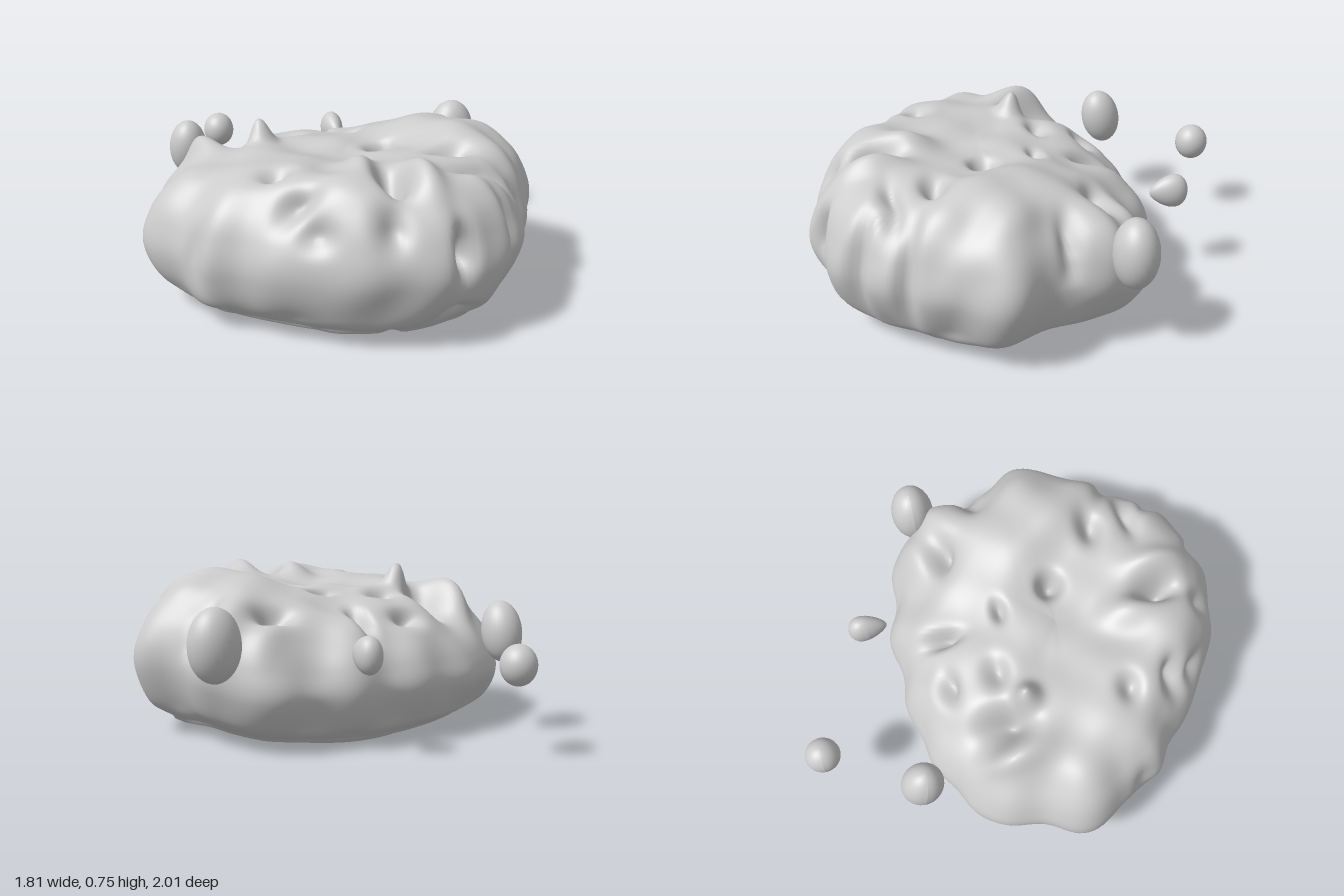
import * as THREE from 'three';
import { mergeVertices } from 'three/addons/utils/BufferGeometryUtils.js';

const material = new THREE.MeshStandardMaterial({ color: 0xcccccc, roughness: 0.8 });
const CENTRE_Z = 0.22;
const { smoothstep, degToRad } = THREE.MathUtils;

// Outline radius every 15 degrees, from +x towards +z
const RADII = [
  0.88, 0.86, 0.81, 0.83, 0.82, 0.8, 0.77, 0.73, 0.71, 0.71, 0.75, 0.82,
  0.88, 0.86, 0.88, 0.82, 0.78, 0.75, 0.74, 0.76, 0.81, 0.88, 0.85, 0.82,
];

// Section from under the middle to the top: share of the radius, height
const SECTION = [
  [0, 0.04], [0.72, 0.04], [0.82, 0.065], [0.92, 0.14], [1, 0.33],
  [0.965, 0.48], [0.88, 0.595], [0.74, 0.675], [0.5, 0.675], [0, 0.62],
];

// Pits (-) and peaks (+) of the top: x, z, amount, radius x, radius z
const TOP_LUMPS = [
  [-0.43, -0.12, -0.19, 0.08, 0.12], [-0.33, 0.02, 0.12, 0.055, 0.05],
  [-0.56, -0.1, 0.06, 0.06, 0.13], [-0.18, -0.09, -0.07, 0.07, 0.05],
  [-0.18, -0.31, -0.08, 0.07, 0.045], [0.05, -0.3, -0.1, 0.035, 0.08],
  [0.45, -0.23, -0.1, 0.08, 0.05], [0.17, 0.23, -0.13, 0.05, 0.045],
  [0.4, 0.47, -0.09, 0.08, 0.05], [0.45, 0.66, -0.06, 0.12, 0.04],
  [0.05, 0.7, -0.18, 0.05, 0.1], [-0.38, 0.47, -0.07, 0.06, 0.05],
  [-0.36, 0.69, -0.07, 0.08, 0.05], [0.45, 0.22, 0.055, 0.18, 0.2],
  [-0.04, 0.55, 0.06, 0.08, 0.14], [0.18, 0.72, 0.05, 0.06, 0.14],
  [0.1, -0.02, -0.06, 0.05, 0.03], [0.72, -0.04, -0.05, 0.09, 0.04],
];

// Folds and swellings of the side: angle, height, amount, half angle, half height
const SIDE_LUMPS = [
  [327, 0.47, 0.07, 7, 0.15], [315, 0.48, 0.05, 6, 0.12], [70, 0.42, -0.13, 3, 0.1],
  [48, 0.42, -0.05, 3, 0.2], [31, 0.42, -0.05, 3, 0.2], [92, 0.55, -0.06, 5, 0.08],
  [68, 0.13, -0.05, 6, 0.04], [160, 0.35, -0.04, 4, 0.15], [118, 0.52, -0.05, 6, 0.06],
];

const bell = (a, b) => Math.exp(-a * a - b * b);

// Distance the surface moves along its normal at a point
function lumpiness({ x, y, z }, n) {
  const angle = Math.atan2(z - CENTRE_Z, x);
  const rim = smoothstep(Math.hypot(x, z - CENTRE_Z), 0.5, 0.7);
  const up = smoothstep(n.y, 0.05, 0.5);
  const down = smoothstep(-n.y, 0.4, 0.9);

  // Gentle unevenness, with upright folds round the side
  let d = (1 - down) * (0.014 * Math.sin(11 * x + 3 * z + 1) * Math.sin(10 * z - 4 * x)
    + 0.008 * Math.sin(19 * x - 7 * y) * Math.sin(17 * z + 5 * y + 2)
    + 0.01 * rim * Math.sin(14 * angle + 3 * y));
  for (const [cx, cz, amount, rx, rz] of TOP_LUMPS) {
    d += up * amount * bell((x - cx) / rx, (z - cz) / rz);
  }
  for (const [degrees, height, amount, spread, rise] of SIDE_LUMPS) {
    const turn = angle - degToRad(degrees);
    const away = Math.atan2(Math.sin(turn), Math.cos(turn));
    d += rim * amount * bell(away / degToRad(spread), (y - height) / rise);
  }
  // Underside: uneven pits along a spiral, and two low swellings it rests on
  for (let k = 0; k < 12; k++) {
    const r = 0.17 * Math.sqrt(k + 1), size = 0.045 + 0.015 * Math.sin(5 * k);
    const px = r * Math.cos(2.4 * k + 0.3), pz = CENTRE_Z + r * Math.sin(2.4 * k + 0.3);
    d -= down * 1.2 * size * bell((x - px) / size, (z - pz) / (0.1 - size));
  }
  d += down * 0.035 * (bell((x - 0.1) / 0.25, (z + 0.3) / 0.12) + bell((x + 0.5) / 0.12, (z - 0.2) / 0.15));
  return d;
}

// Body lofted from the outline and section, then made lumpy
function bodyGeometry(cols = 240, rows = 140) {
  const outline = new THREE.CatmullRomCurve3(RADII.map((r, i) => {
    const a = degToRad(15 * i);
    return new THREE.Vector3(r * Math.cos(a), 0, r * Math.sin(a));
  }), true);
  const section = new THREE.SplineCurve(SECTION.map(p => new THREE.Vector2(...p)));
  const ring = outline.getSpacedPoints(cols);
  ring[cols].copy(ring[0]);
  const positions = [], index = [];
  section.getSpacedPoints(rows).forEach((p, i) => {
    const s = i === 0 || i === rows ? 0 : p.x;
    for (const r of ring) {
      const x = r.x * s, z = CENTRE_Z + r.z * s;
      // The top slopes down to the back and to the model's right
      const slope = (1 - 0.27 * smoothstep(-z, -0.1, 0.5)) * (1 - 0.13 * smoothstep(-x, 0.2, 0.9));
      positions.push(x, p.y * slope, z);
    }
  });
  for (let i = 0; i < rows; i++) {
    for (let j = 0; j < cols; j++) {
      const a = i * (cols + 1) + j, b = a + cols + 1;
      index.push(a, b, a + 1, b, b + 1, a + 1);
    }
  }
  let geo = new THREE.BufferGeometry();
  geo.setAttribute('position', new THREE.Float32BufferAttribute(positions, 3));
  geo.setIndex(index);
  geo = mergeVertices(geo, 1e-5);
  geo.computeVertexNormals();

  const pos = geo.attributes.position;
  const v = new THREE.Vector3(), n = new THREE.Vector3();
  for (let i = 0; i < pos.count; i++) {
    v.fromBufferAttribute(pos, i);
    n.fromBufferAttribute(geo.attributes.normal, i);
    v.addScaledVector(n, lumpiness(v, n));
    pos.setXYZ(i, v.x, Math.max(v.y, 0), v.z);
  }
  geo.computeVertexNormals();
  return geo;
}

// Rounded drop, narrowed towards +z by the taper
function droplet(name, position, radii, taper, tilt) {
  const geo = new THREE.SphereGeometry(1, 28, 20);
  const pos = geo.attributes.position;
  for (let i = 0; i < pos.count; i++) {
    const k = 1 - taper * (pos.getZ(i) + 0.3);
    pos.setXY(i, pos.getX(i) * k, pos.getY(i) * k);
  }
  geo.scale(...radii);
  geo.computeVertexNormals();
  const mesh = new THREE.Mesh(geo, material);
  mesh.name = name;
  mesh.position.set(...position);
  mesh.rotation.x = tilt;
  return mesh;
}

export function createModel() {
  const group = new THREE.Group();
  group.name = 'lumpyBlob';
  const body = new THREE.Mesh(bodyGeometry(), material);
  body.name = 'body';
  group.add(body,
    droplet('sideKnob', [0.755, 0.475, -0.31], [0.115, 0.16, 0.1], 0, 0),
    droplet('largeDroplet', [-0.57, 0.465, -0.5], [0.09, 0.14, 0.095], 0, 0.2),
    droplet('pointedDroplet', [0.22, 0.44, -0.62], [0.058, 0.085, 0.09], 0.32, 0),
    droplet('farDroplet', [-0.33, 0.395, -0.92], [0.078, 0.088, 0.08], 0, 0));
  return group;
}
